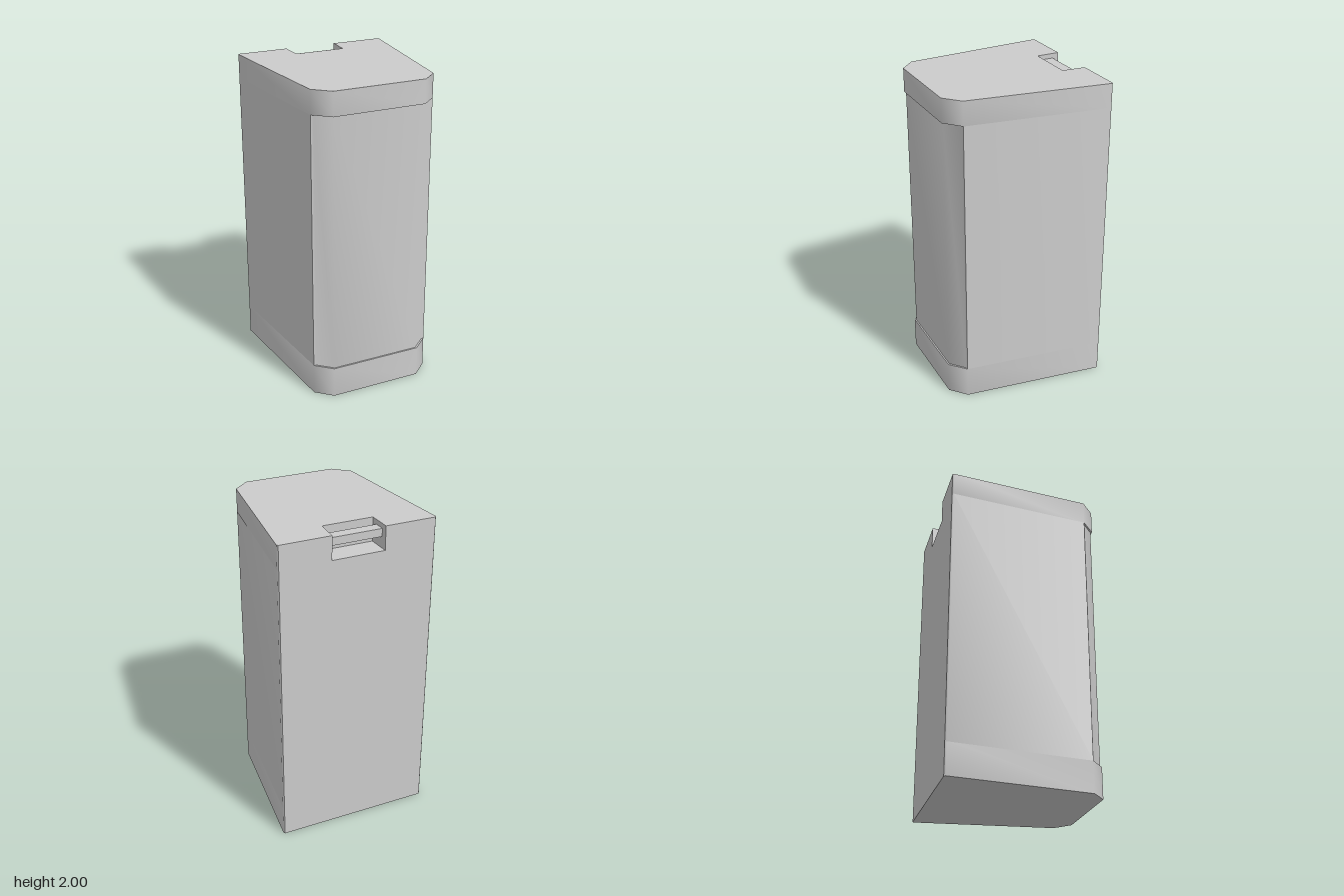
import * as THREE from 'three';
import { toCreasedNormals } from 'three/addons/utils/BufferGeometryUtils.js';

const material = new THREE.MeshStandardMaterial({ color: 0xcccccc });

// Upright prism from the +x half of a plan outline (x, z), mirrored to -x
function prism(name, half, y0, y1) {
  const mirrored = half.map(([x, z]) => [-x, z]).reverse();
  const shape = new THREE.Shape([...half, ...mirrored].map(([x, z]) => new THREE.Vector2(x, z)));
  const geometry = new THREE.ExtrudeGeometry(shape, { depth: y1 - y0, bevelEnabled: false });
  geometry.rotateX(Math.PI / 2).translate(0, y1, 0);
  const mesh = new THREE.Mesh(toCreasedNormals(geometry, 0.8), material);
  mesh.name = name;
  return mesh;
}

export function createModel() {
  const group = new THREE.Group();
  group.name = 'taperedBin';

  // Tapered plan with chamfered front corners
  const back = [[0.489, -0.5], [0.496, -0.49]];
  const front = [[0.395, 0.41], [0.295, 0.5]];
  // Front panel set back slightly behind the end bands
  const insetFront = [[0.395, 0.41], [0.378, 0.412], [0.288, 0.491]];
  // Latch pocket opening through the top and the back
  const pocket = [[0.161, -0.35], [0.167, -0.5]];

  group.add(prism('baseBand', [...back, ...front], 0, 0.2));
  group.add(prism('bodyWithFrontPanel', [...back, ...insetFront], 0.2, 1.85));
  group.add(prism('topBandWithPocket', [...pocket, ...back, ...front], 1.85, 2));

  // Grip bar across the pocket
  group.add(prism('gripBar', [[0.167, -0.46], [0.164, -0.39]], 1.92, 1.97));

  return group;
}
